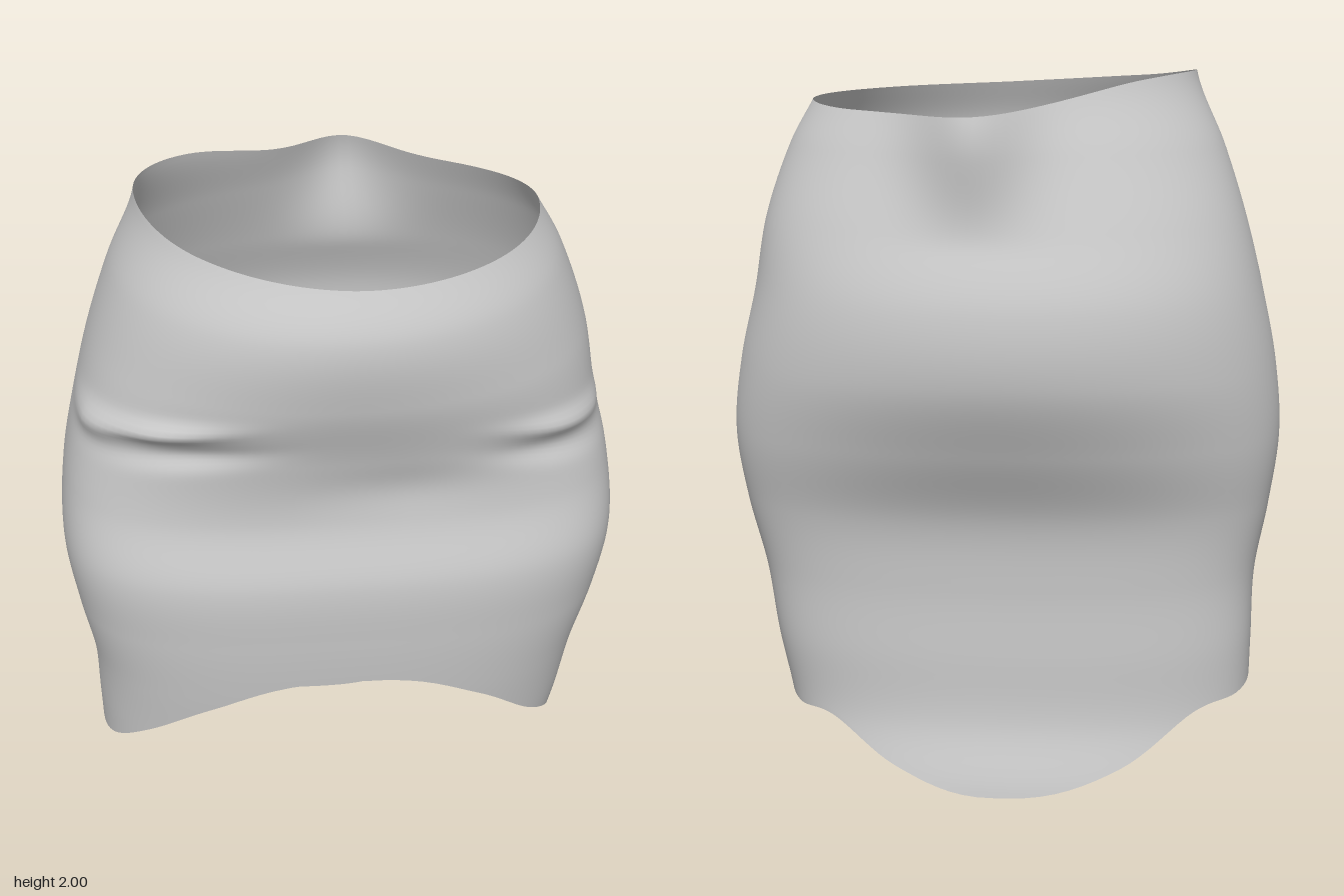
import * as THREE from 'three';

// Cross-sections every 0.2 from y = 0 up:
// [left half width, right half width, front depth, back depth, front squareness, back squareness]
const SECTIONS = [
  [0.60, 0.69, 0.32, 0.335, 3.0, 2.6],
  [0.62, 0.70, 0.34, 0.29, 3.0, 2.7],
  [0.66, 0.705, 0.375, 0.29, 3.0, 2.8],
  [0.69, 0.71, 0.41, 0.295, 3.1, 2.8],
  [0.74, 0.745, 0.435, 0.325, 3.1, 2.7],
  [0.77, 0.77, 0.445, 0.42, 3.1, 2.3],
  [0.75, 0.755, 0.405, 0.50, 3.0, 2.1],
  [0.705, 0.715, 0.43, 0.505, 2.6, 2.1],
  [0.67, 0.665, 0.49, 0.44, 2.2, 2.1],
  [0.60, 0.60, 0.51, 0.37, 2.0, 2.0],
  [0.50, 0.52, 0.44, 0.30, 1.9, 2.0],
];

// Edge heights around the body, from left (+x) through front, right and back
const HEM = [0.245, 0.33, 0.42, 0.56, 0.66, 0.56, 0.43, 0.33, 0.29, 0.26, 0.23, 0.08, 0, 0.075, 0.195, 0.205];
const WAIST = [1.92, 1.925, 1.935, 1.965, 2.0, 1.985, 1.91, 1.905];

// Wrinkle ridges and dents: [x, y, width, height, slope, amount], front side only
const WRINKLES = [
  [-0.48, 1.49, 0.16, 0.028, 0.18, 0.024],
  [-0.42, 1.42, 0.18, 0.035, 0.15, -0.018],
  [-0.66, 1.44, 0.07, 0.04, 0.2, 0.014],
  [0.56, 1.42, 0.14, 0.03, -0.2, 0.018],
  [0.54, 1.35, 0.15, 0.035, -0.2, -0.014],
  [0.15, 1.30, 0.22, 0.08, 0, -0.012],
];

function spline(p0, p1, p2, p3, f) {
  return p1 + 0.5 * f * (p2 - p0 + f * (2 * p0 - 5 * p1 + 4 * p2 - p3 + f * (3 * (p1 - p2) + p3 - p0)));
}

function around(values, u) {
  const n = values.length, s = u * n, k = Math.floor(s);
  const v = (i) => values[(i + n) % n];
  return spline(v(k - 1), v(k), v(k + 1), v(k + 2), s - k);
}

function sectionAt(y) {
  const last = SECTIONS.length - 1;
  const s = THREE.MathUtils.clamp(y / 0.2, 0, last);
  const k = Math.min(Math.floor(s), last - 1);
  const row = (i) => SECTIONS[THREE.MathUtils.clamp(i, 0, last)];
  return SECTIONS[0].map((_, c) => spline(row(k - 1)[c], row(k)[c], row(k + 1)[c], row(k + 2)[c], s - k));
}

const gauss = (d) => Math.exp(-d * d);

function surfacePoint(u, t) {
  const angle = u * Math.PI * 2, c = Math.cos(angle), s = Math.sin(angle);
  const y = Math.max(0, THREE.MathUtils.lerp(around(WAIST, u), around(HEM, u), t));
  const [left, right, front, back, nFront, nBack] = sectionAt(y);
  const n = s > 0 ? nFront : nBack;
  let x = (c > 0 ? left : right) * Math.sign(c) * Math.abs(c) ** (2 / n);
  let z = (s > 0 ? front : back) * Math.sign(s) * Math.abs(s) ** (2 / n);

  if (s < 0) {
    // Pinched fold behind the waist
    z -= 0.125 * THREE.MathUtils.smoothstep(y, 1.55, 1.93) * gauss((x - 0.07) / 0.15) * Math.abs(s);
  } else {
    // Creases across the front and hips
    let push = 0;
    for (const [wx, wy, w, h, slope, amount] of WRINKLES) {
      push += amount * gauss((x - wx) / w) * gauss((y - wy - slope * (x - wx)) / h);
    }
    x += push * c * Math.min(1, s * 3);
    z += push * Math.min(1, s * 3);
  }
  return [x, y, z];
}

export function createModel() {
  const group = new THREE.Group();
  const around_ = 128, rows = 110;
  const positions = [], index = [];

  // Rings from waist to hem
  for (let j = 0; j <= rows; j++) {
    for (let i = 0; i < around_; i++) positions.push(...surfacePoint(i / around_, j / rows));
  }
  for (let j = 0; j < rows; j++) {
    for (let i = 0; i < around_; i++) {
      const next = (i + 1) % around_;
      const a = j * around_ + i, b = j * around_ + next;
      index.push(a, b, a + around_, b, b + around_, a + around_);
    }
  }

  const geometry = new THREE.BufferGeometry();
  geometry.setAttribute('position', new THREE.Float32BufferAttribute(positions, 3));
  geometry.setIndex(index);
  geometry.computeVertexNormals();

  const skirt = new THREE.Mesh(
    geometry,
    new THREE.MeshStandardMaterial({ color: 0xcccccc, side: THREE.DoubleSide })
  );
  skirt.name = 'skirt';
  group.add(skirt);
  return group;
}
